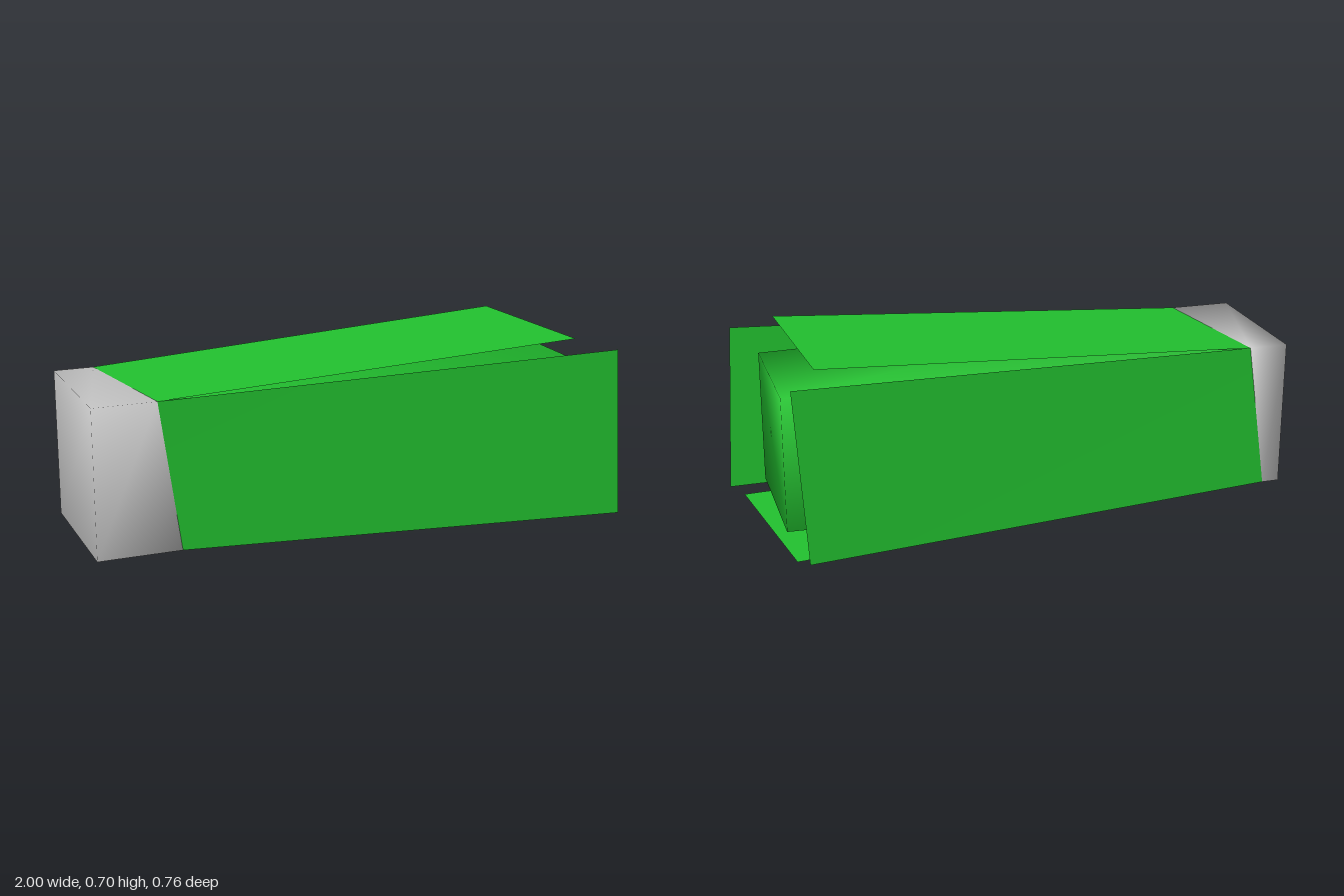
import * as THREE from 'three';

const grey = new THREE.MeshStandardMaterial({ color: 0xcccccc, side: THREE.DoubleSide });
const green = new THREE.MeshStandardMaterial({ color: 0x22c02f, side: THREE.DoubleSide });

function surface(name, points, index, material) {
  const geometry = new THREE.BufferGeometry();
  geometry.setAttribute('position', new THREE.Float32BufferAttribute(points.flat(), 3));
  geometry.setIndex(index);
  geometry.computeVertexNormals();
  const mesh = new THREE.Mesh(geometry, material);
  mesh.name = name;
  return mesh;
}

// Four-sided block between two rings of corners, with one end closed
function block(name, ringA, ringB, capAtStart, material) {
  const index = [];
  for (let i = 0; i < 4; i++) {
    const j = (i + 1) % 4;
    index.push(i, j, 4 + j, i, 4 + j, 4 + i);
  }
  index.push(...(capAtStart ? [0, 3, 2, 0, 2, 1] : [4, 5, 6, 4, 6, 7]));
  return surface(name, [...ringA, ...ringB], index, material);
}

// Corners in the order front top, back top, back bottom, front bottom
function ring(xs, top, bottom, front, back) {
  return [
    [xs[0], top, front], [xs[1], top, back],
    [xs[2], bottom, back], [xs[3], bottom, front],
  ];
}

export function createModel() {
  const model = new THREE.Group();
  model.name = 'flaredBox';

  const butt = ring([-1, -1, -1, -1], 0.61, 0.065, 0.28, -0.27);
  const hinge = ring([-0.77, -0.855, -0.935, -0.695], 0.61, 0.065, 0.28, -0.27);
  const tip = ring([0.88, 0.88, 0.88, 0.88], 0.588, 0.086, 0.258, -0.245);

  // Grey end block with a slanted join, then the tapering core
  model.add(block('endBlock', butt, hinge, true, grey));
  model.add(block('core', hinge, tip, false, green));

  // Thin panels spreading outward from the slanted join
  const panelEnds = {
    topPanel: [[0.81, 0.7, 0.335], [0.77, 0.7, -0.305]],
    backPanel: [[0.865, 0.66, -0.382], [0.825, 0.013, -0.382]],
    bottomPanel: [[0.86, 0.002, -0.322], [0.955, 0.002, 0.32]],
    frontPanel: [[1, 0.013, 0.382], [0.965, 0.655, 0.382]],
  };
  Object.entries(panelEnds).forEach(([name, [endA, endB]], i) => {
    const corners = [hinge[i], hinge[(i + 1) % 4], endB, endA];
    model.add(surface(name, corners, [0, 1, 2, 0, 2, 3], green));
  });

  return model;
}
